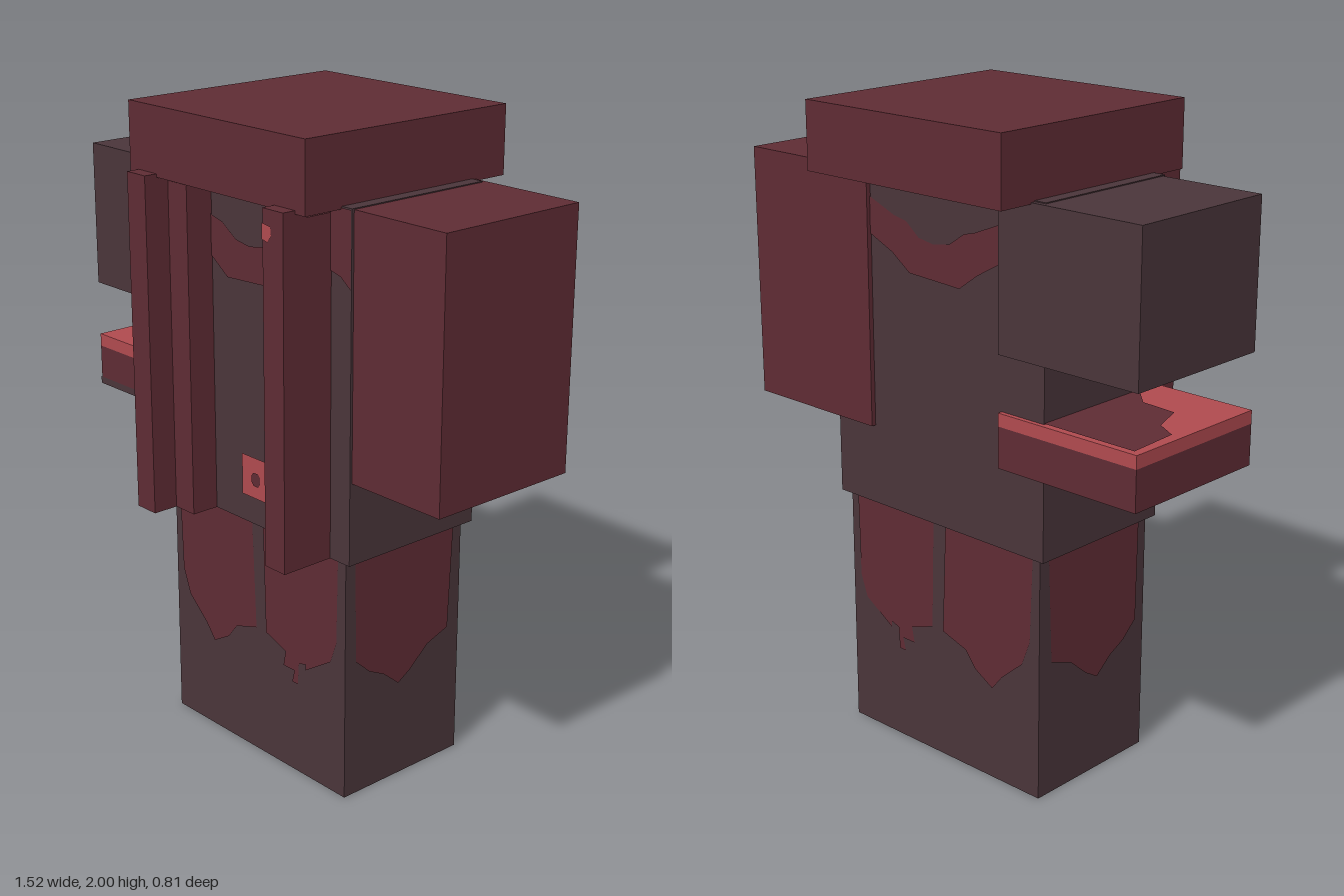
import * as THREE from 'three';

const mat = (name, color) => Object.assign(new THREE.MeshStandardMaterial({ color }), { name });

export function createModel() {
  const model = new THREE.Group();
  model.name = 'outfit';
  const grey = mat('dark grey cloth', 0x4a353a);
  const red = mat('deep red cloth', 0x5f2c34);
  const light = mat('light red', 0xb04a4f);

  // Box given by its min and max on each axis
  function box(name, material, [x0, x1], [y0, y1], [z0, z1]) {
    const mesh = new THREE.Mesh(new THREE.BoxGeometry(x1 - x0, y1 - y0, z1 - z0), material);
    mesh.position.set((x0 + x1) / 2, (y0 + y1) / 2, (z0 + z1) / 2);
    mesh.name = name;
    model.add(mesh);
  }

  // Flat painted patch; points are [horizontal axis, vertical axis] in model units
  const LIFT = 0.003;
  const faces = {
    front: { map: (a, b) => [a, b], rot: [0, 0, 0], axis: 'z', sign: 1 },
    back: { map: (a, b) => [-a, b], rot: [0, Math.PI, 0], axis: 'z', sign: -1 },
    left: { map: (a, b) => [-a, b], rot: [0, Math.PI / 2, 0], axis: 'x', sign: 1 },
    right: { map: (a, b) => [a, b], rot: [0, -Math.PI / 2, 0], axis: 'x', sign: -1 },
    top: { map: (a, b) => [a, -b], rot: [-Math.PI / 2, 0, 0], axis: 'y', sign: 1 },
    bottom: { map: (a, b) => [a, b], rot: [Math.PI / 2, 0, 0], axis: 'y', sign: -1 },
  };
  function paint(name, material, face, at, points, lift = LIFT) {
    const f = faces[face];
    const shape = new THREE.Shape(points.map(([a, b]) => new THREE.Vector2(...f.map(a, b))));
    const mesh = new THREE.Mesh(new THREE.ShapeGeometry(shape), material);
    mesh.rotation.set(...f.rot);
    mesh.position[f.axis] = at + f.sign * lift;
    mesh.name = name;
    model.add(mesh);
  }
  const rect = (a0, a1, b0, b1) => [[a0, b0], [a1, b0], [a1, b1], [a0, b1]];

  // Main blocks
  box('legs', grey, [-0.395, 0.39], [0, 0.77], [-0.255, 0.215]);
  box('torso', grey, [-0.42, 0.42], [0.77, 1.803], [-0.27, 0.23]);
  box('hat', red, [-0.38, 0.38], [1.795, 2], [-0.4, 0.36]);

  // Left sleeve, with a worn spot underneath
  box('leftSleeve', red, [0.26, 0.76], [1.02, 1.8], [-0.285, 0.222]);
  paint('sleeveWear', grey, 'bottom', 1.02, [[0.6, 0], [0.66, -0.02], [0.72, 0.04], [0.7, 0.14], [0.63, 0.12]]);

  // Right sleeve, split into an upper block and a cuff
  const rx = [-0.76, -0.26], rz = [-0.285, 0.222];
  box('rightUpperSleeve', grey, rx, [1.355, 1.8], rz);
  box('rightCuff', red, rx, [1.02, 1.145], rz);
  box('rightCuffRim', light, rx, [1.145, 1.185], rz);
  paint('cuffHem', grey, 'front', 0.222, rect(-0.76, -0.26, 1.02, 1.042));
  paint('cuffInside', red, 'top', 1.185,
    [[-0.74, -0.27], [-0.26, -0.27], [-0.26, 0.12], [-0.44, 0.12], [-0.5, 0.06], [-0.62, 0.05], [-0.66, -0.06], [-0.73, -0.1]]);

  // Coat straps: a wide panel with a raised outer bar on each side
  for (const [side, s] of [['left', 1], ['right', -1]]) {
    const span = (a, b) => (s > 0 ? [a, b] : [-b, -a]);
    box(side + 'StrapPanel', red, span(0.172, 0.34), [0.77, 1.78], [0.23, 0.32]);
    box(side + 'StrapBar', red, span(0.257, 0.34), [0.77, 1.805], [0.32, 0.402]);
    // Shoulder stain outside each strap
    paint(side + 'ShoulderStain', red, 'front', 0.23,
      [[0.34, 1.8], [0.42, 1.8], [0.42, 1.58], [0.38, 1.61], [0.34, 1.62]].map(([a, b]) => [a * s, b]));
  }

  // Neck stains on chest and back
  const neck = [[-0.26, 1.72], [-0.16, 1.68], [-0.12, 1.67], [-0.06, 1.63], [0, 1.62], [0.06, 1.63], [0.11, 1.67],
    [0.16, 1.68], [0.26, 1.72], [0.26, 1.61], [0.17, 1.57], [0.1, 1.52], [-0.1, 1.51], [-0.17, 1.56], [-0.26, 1.61]];
  paint('chestStain', red, 'front', 0.23, neck);
  paint('backStain', red, 'back', -0.27, neck);

  // Ragged stains down the legs
  const pointed = [[-0.37, 0.77], [-0.02, 0.77], [-0.005, 0.42], [-0.1, 0.39], [-0.14, 0.34], [-0.21, 0.3],
    [-0.25, 0.35], [-0.33, 0.42], [-0.36, 0.5]];
  const ragged = [[0.03, 0.77], [0.36, 0.77], [0.355, 0.5], [0.33, 0.43], [0.22, 0.36], [0.22, 0.38], [0.19, 0.37],
    [0.185, 0.3], [0.16, 0.3], [0.17, 0.34], [0.12, 0.34], [0.13, 0.39], [0.04, 0.42]];
  for (const [face, z] of [['front', 0.215], ['back', -0.255]]) {
    paint(face + 'RightLegStain', red, face, z, pointed);
    paint(face + 'LeftLegStain', red, face, z, ragged);
  }
  const sideStain = [[0.18, 0.77], [-0.22, 0.77], [-0.205, 0.43], [-0.12, 0.4], [-0.05, 0.34], [0, 0.31],
    [0.06, 0.36], [0.12, 0.39], [0.175, 0.44]];
  paint('leftSideStain', red, 'left', 0.39, sideStain);
  paint('rightSideStain', red, 'right', -0.395, sideStain);

  // Belt buckle with a dark centre, and a button on the left bar
  paint('buckle', light, 'front', 0.23, rect(-0.045, 0.082, 0.855, 0.983));
  paint('buckleHole', red, 'front', 0.23,
    [[0.01, 0.895], [0.03, 0.895], [0.04, 0.908], [0.04, 0.925], [0.03, 0.937], [0.01, 0.937], [0, 0.925], [0, 0.908]], 0.006);
  paint('button', light, 'front', 0.402,
    [[0.257, 1.72], [0.28, 1.715], [0.295, 1.735], [0.292, 1.76], [0.257, 1.765]]);

  return model;
}
